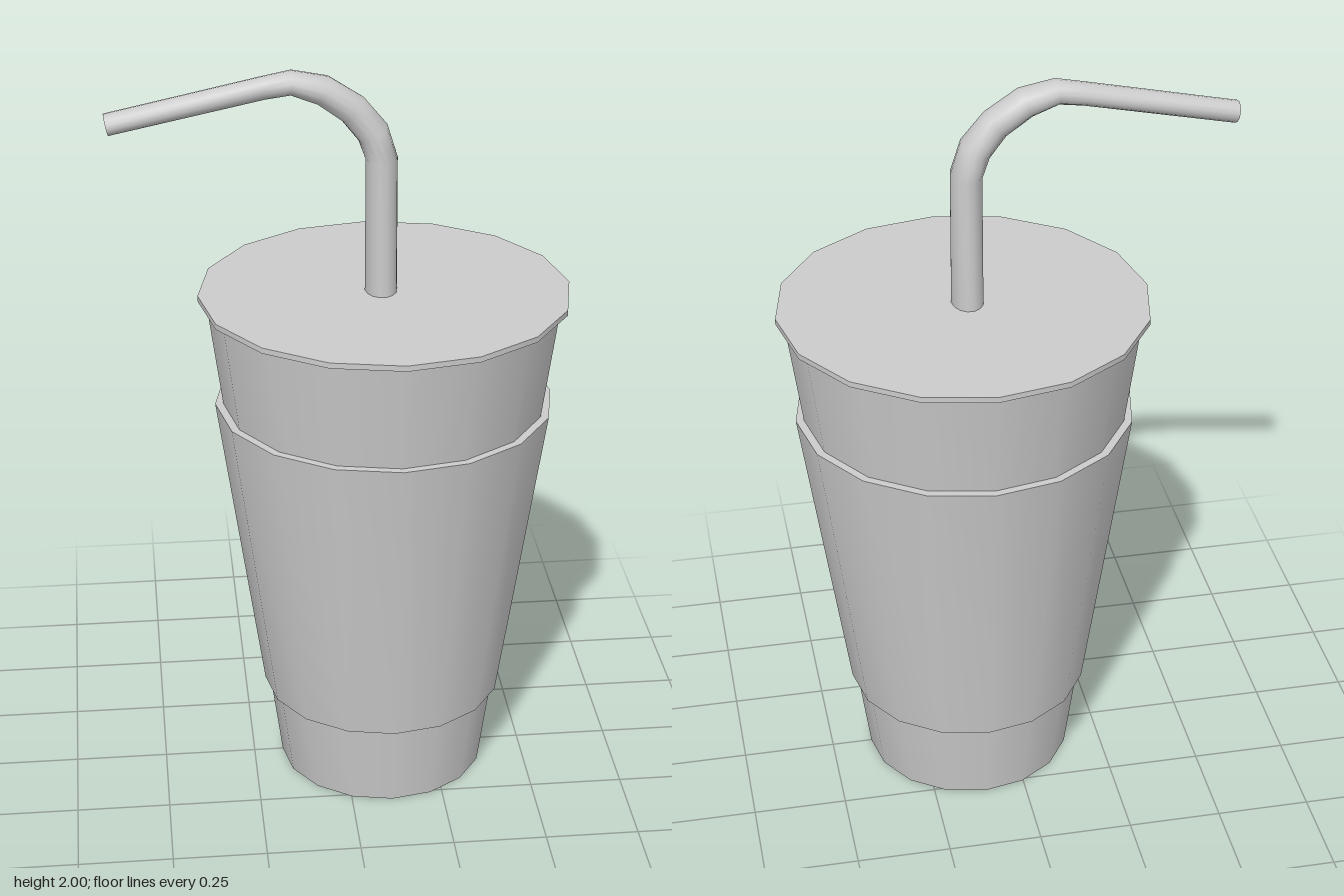
import * as THREE from 'three';
import { toCreasedNormals } from 'three/addons/utils/BufferGeometryUtils.js';

const SIDES = 16;
const CUP_X = 0.11;

// Turned part: [radius, height] profile, listed counter-clockwise from the bottom
function turned(name, profile, material) {
  const points = profile.map(([r, y]) => new THREE.Vector2(r, y));
  const geometry = toCreasedNormals(new THREE.LatheGeometry(points, SIDES), 0.6);
  const mesh = new THREE.Mesh(geometry, material);
  mesh.name = name;
  mesh.position.x = CUP_X;
  return mesh;
}

// Bent tube of elliptical sections: [x, y, half width in the bend plane, half width in z]
function bentTube(sections, sides) {
  const positions = [];
  const indices = [];
  const last = sections.length - 1;
  sections.forEach(([x, y, a, b], i) => {
    const before = sections[Math.max(i - 1, 0)];
    const after = sections[Math.min(i + 1, last)];
    const along = new THREE.Vector2(after[0] - before[0], after[1] - before[1]).normalize();
    for (let j = 0; j < sides; j++) {
      const t = (j / sides) * Math.PI * 2;
      const out = a * Math.cos(t);
      positions.push(x + along.y * out, y - along.x * out, -b * Math.sin(t));
      if (i < last) {
        const p = i * sides + j;
        const q = i * sides + ((j + 1) % sides);
        indices.push(p, q, p + sides, q, q + sides, p + sides);
      }
    }
  });
  const geometry = new THREE.BufferGeometry();
  geometry.setAttribute('position', new THREE.Float32BufferAttribute(positions, 3));
  geometry.setIndex(indices);
  geometry.computeVertexNormals();
  return geometry;
}

export function createModel() {
  const group = new THREE.Group();
  group.name = 'drinkCup';
  const grey = new THREE.MeshStandardMaterial({ color: 0xcccccc });
  const greyThin = new THREE.MeshStandardMaterial({ color: 0xcccccc, side: THREE.DoubleSide });

  // Tapered cup with a recessed base
  group.add(turned('cup', [
    [0, 0.035], [0.26, 0.035], [0.26, 0], [0.28, 0], [0.466, 1.385], [0, 1.385],
  ], grey));

  // Sleeve wrapped around the cup
  group.add(turned('sleeve', [
    [0.308, 0.24], [0.326, 0.24], [0.448, 1.09], [0.423, 1.09],
  ], grey));

  // Thin flat lid
  group.add(turned('lid', [
    [0, 1.385], [0.487, 1.385], [0.487, 1.4], [0, 1.4],
  ], grey));

  // Bent straw, open at the tip
  const straw = new THREE.Mesh(bentTube([
    [0.1, 1.385, 0.042, 0.059],
    [0.1, 1.76, 0.041, 0.057],
    [0.077, 1.83, 0.042, 0.051],
    [0.026, 1.893, 0.041, 0.043],
    [-0.05, 1.945, 0.038, 0.048],
    [-0.13, 1.967, 0.031, 0.042],
    [-0.2, 1.955, 0.029, 0.034],
    [-0.594, 1.872, 0.028, 0.033],
  ], 14), greyThin);
  straw.name = 'straw';
  group.add(straw);

  return group;
}
